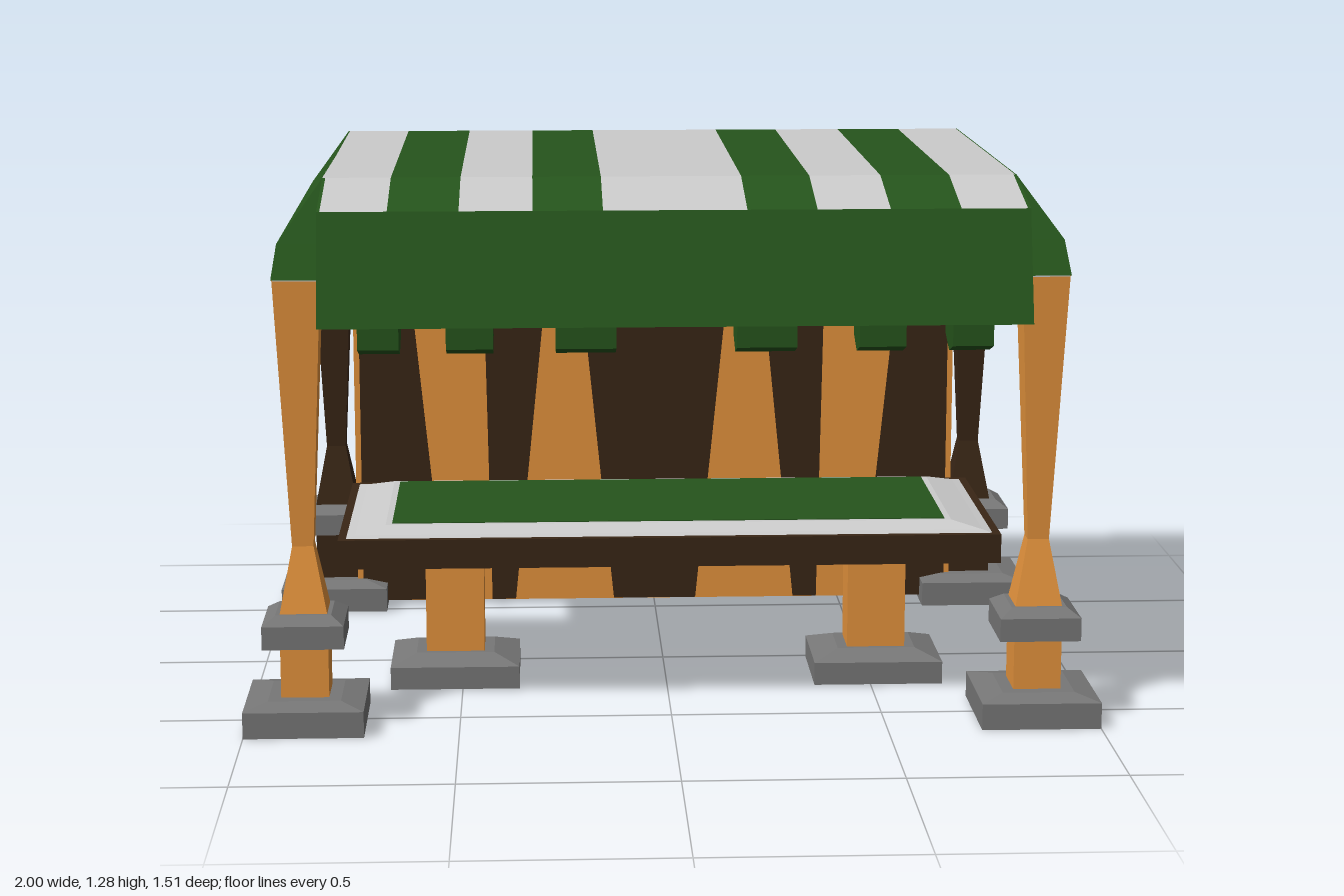
import * as THREE from 'three';

const mat = (color) => new THREE.MeshStandardMaterial({ color, flatShading: true });
const MATS = {
  cloth: mat(0xcccccc), green: mat(0x26551c), wood: mat(0xe5943d),
  dark: mat(0x392616), stone: mat(0x777777),
};

// Rectangular cross-section; yBack lets the back edge sit at another height
const ring = (y, x0, x1, z0, z1, yBack = y) =>
  [[x0, y, z1], [x1, y, z1], [x1, yBack, z0], [x0, yBack, z0]];
const centred = (y, hx, hz = hx) => ring(y, -hx, hx, -hz, hz);

// Closed solid through cross-sections listed from bottom to top
function loft(rings) {
  const pos = [];
  const quad = (a, b, c, d) => [a, b, c, a, c, d].forEach((p) => pos.push(...p));
  for (let k = 0; k + 1 < rings.length; k++) {
    for (let i = 0; i < 4; i++) {
      const j = (i + 1) % 4;
      quad(rings[k][i], rings[k][j], rings[k + 1][j], rings[k + 1][i]);
    }
  }
  const lo = rings[0], hi = rings[rings.length - 1];
  quad(lo[3], lo[2], lo[1], lo[0]);
  quad(hi[0], hi[1], hi[2], hi[3]);
  const g = new THREE.BufferGeometry();
  g.setAttribute('position', new THREE.Float32BufferAttribute(pos, 3));
  g.computeVertexNormals();
  return g;
}

// Side profile in (z, y), extruded from x0 to x1
function extrudeX(profile, x0, x1) {
  const shape = new THREE.Shape(profile.map(([z, y]) => new THREE.Vector2(z, y)));
  return new THREE.ExtrudeGeometry(shape, { depth: x1 - x0, bevelEnabled: false })
    .rotateY(-Math.PI / 2).translate(x1, 0, 0);
}

export function createModel() {
  const model = new THREE.Group();
  const add = (name, geometry, material, parent = model) => {
    const mesh = new THREE.Mesh(geometry, material);
    mesh.name = name;
    parent.add(mesh);
    return mesh;
  };

  // Corner posts with stone footings and collars
  for (const sx of [-1, 1]) {
    for (const front of [true, false]) {
      const post = new THREE.Group();
      post.name = front ? 'frontPost' : 'backPost';
      post.position.set(sx * 0.86, 0, front ? 0.512 : -0.615);
      model.add(post);
      add('footing', loft([centred(0, 0.14), centred(0.062, 0.14), centred(0.074, 0.085)]), MATS.stone, post);
      add('collar', loft([centred(0.2, 0.095), centred(0.255, 0.095), centred(0.275, 0.065)]), MATS.stone, post);
      const shaft = add('shaft', loft([
        centred(0.06, 0.056), centred(0.27, 0.056), centred(0.43, 0.025), centred(front ? 1.062 : 1.042, 0.055),
      ]), front ? MATS.wood : MATS.dark, post);
      if (!front) shaft.position.x = -sx * 0.006;
    }
  }

  // Striped cloth: roof, back slope and hanging back curtain in one profile
  const cloth = [
    [0.675, 1.23], [0.455, 1.28], [-0.56, 1.28], [-0.645, 1.14], [-0.67, 1.04], [-0.67, 0.01],
    [-0.66, 0.01], [-0.66, 1.04], [-0.635, 1.14], [0.585, 1.14],
  ];
  const edges = [-0.795, -0.645, -0.485, -0.32, -0.162, 0.162, 0.32, 0.485, 0.645, 0.795];
  for (let i = 0; i + 1 < edges.length; i++) {
    add('clothStripe', extrudeX(cloth, edges[i], edges[i + 1]), i % 2 ? MATS.green : MATS.cloth);
  }
  const awningEnd = [[0.675, 1.23], [0.455, 1.28], [0.455, 1.14], [0.585, 1.14]];
  const clothHem = [...cloth.slice(1, 5), ...cloth.slice(7, 9), [0.455, 1.14]];
  for (const [a, b] of [[-0.802, -0.795], [0.795, 0.802]]) {
    add('awningEnd', extrudeX(awningEnd, a, b), MATS.green);
    add('clothHem', extrudeX(clothHem, a, b), MATS.cloth);
  }

  // Pale lining closing the canopy from below, and the canopy's front edge
  add('ceiling', loft([
    ring(1.057, -0.913, 0.913, -0.666, 0.567, 1.034), ring(1.064, -0.913, 0.913, -0.666, 0.567, 1.041),
  ]), MATS.cloth);
  add('canopyFront', extrudeX([[0.57, 1.06], [0.532, 1.14], [0.52, 1.14], [0.55, 1.06]], -0.8, 0.8), MATS.green);

  // Front valance and its hanging tabs
  add('valance', extrudeX([[0.675, 1.23], [0.585, 1.14], [0.625, 0.978], [0.755, 0.978]], -0.802, 0.802), MATS.green);
  const tab = [[0.755, 0.978], [0.625, 0.978], [0.625, 0.94], [0.69, 0.91], [0.755, 0.93]];
  for (const [a, b] of [[0.135, 0.27], [0.41, 0.515], [0.62, 0.712]]) {
    add('valanceTab', extrudeX(tab, a, b), MATS.green);
    add('valanceTab', extrudeX(tab, -b, -a), MATS.green);
  }

  // Sloped side flaps over the posts
  for (const s of [-1, 1]) {
    const flapRing = (y, xIn, xOut, z0, z1, yBack) =>
      ring(y, Math.min(s * xIn, s * xOut), Math.max(s * xIn, s * xOut), z0, z1, yBack);
    add('sideFlap', loft([
      flapRing(1.06, 0.8, 0.917, -0.672, 0.57, 1.037),
      flapRing(1.138, 0.8, 0.905, -0.645, 0.532),
      flapRing(1.28, 0.799, 0.802, -0.56, 0.455),
    ]), MATS.green);
  }

  // Back wall: wooden boarding with dark panels on the inside
  add('backWall', loft([
    ring(0.012, -0.8, 0.8, -0.662, -0.545), ring(1.04, -0.8, 0.8, -0.662, -0.545),
  ]), MATS.wood);
  // Each panel: left and right x at the bottom, then at the top
  const panels = [[-0.785, -0.565, -0.785, -0.665], [-0.438, -0.375, -0.456, -0.27]];
  const mirrored = panels.map(([a, b, c, d]) => [-b, -a, -d, -c]);
  for (const [a, b, c, d] of [...panels, [-0.11, 0.11, -0.213, 0.213], ...mirrored]) {
    add('wallPanel', loft([ring(0.014, a, b, -0.546, -0.54), ring(1.039, c, d, -0.546, -0.54)]), MATS.dark);
  }

  // Counter table
  const table = new THREE.Group();
  table.name = 'table';
  table.position.z = 0.147;
  model.add(table);
  add('tableTop', loft([centred(0.353, 0.785, 0.312), centred(0.423, 0.785, 0.312)]), MATS.dark, table);
  add('tableCloth', loft([
    centred(0.42, 0.782, 0.309), centred(0.427, 0.745, 0.275), centred(0.443, 0.675, 0.238),
  ]), MATS.cloth, table);
  add('tableRunner', loft([centred(0.44, 0.66, 0.226), centred(0.445, 0.66, 0.226)]), MATS.green, table);
  for (const s of [-1, 1]) {
    const leg = new THREE.Group();
    leg.name = 'tableLeg';
    leg.position.x = s * 0.518;
    table.add(leg);
    add('legFooting', loft([
      centred(0.003, 0.157, 0.127), centred(0.058, 0.157, 0.127), centred(0.08, 0.095, 0.07),
    ]), MATS.stone, leg);
    add('legShaft', loft([centred(0.06, 0.071, 0.058), centred(0.36, 0.071, 0.058)]), MATS.wood, leg);
  }

  return model;
}
